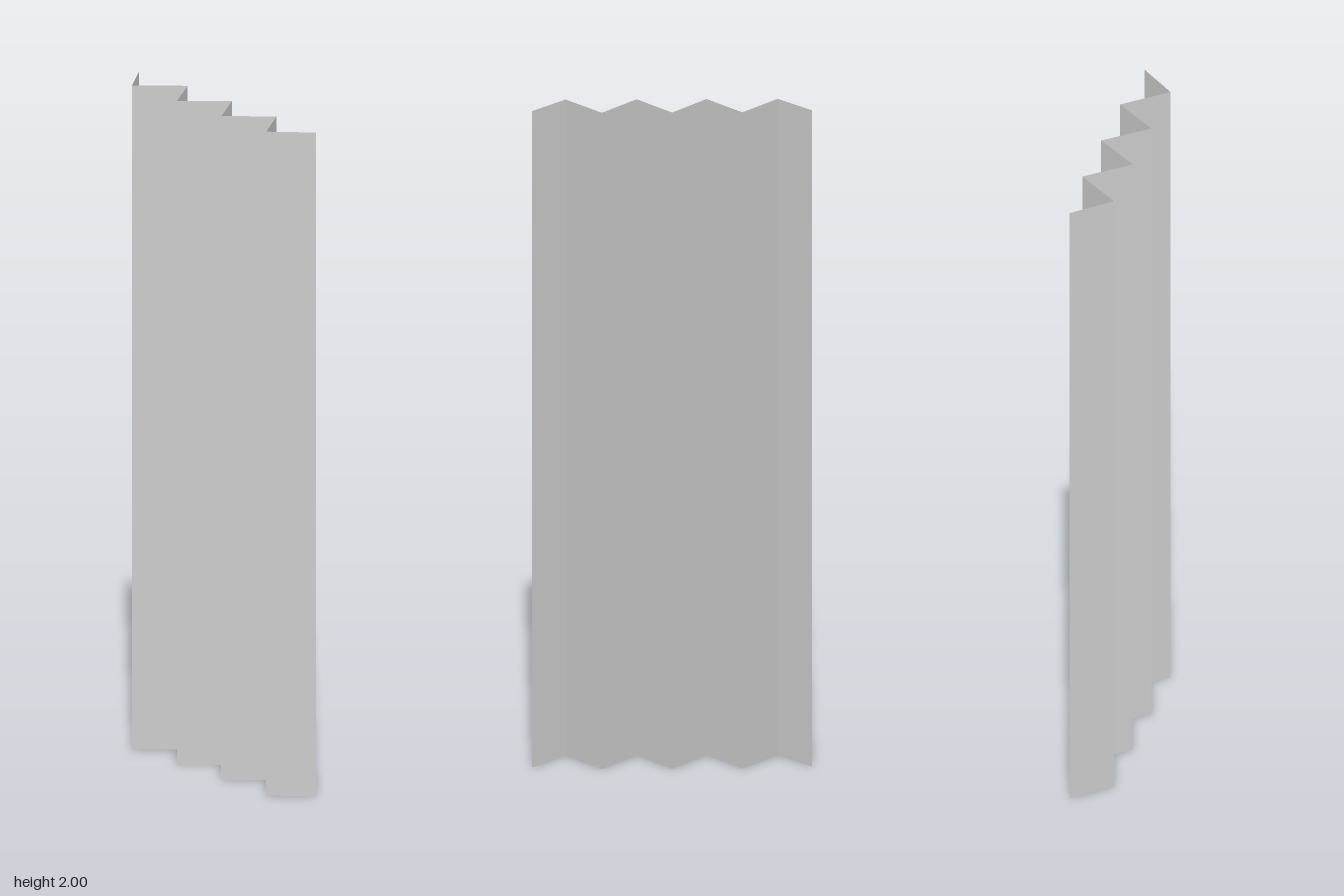
import * as THREE from 'three';

// Fold lines of the pleated screen seen from above, front to back: [x, z]
const HEIGHT = 2;
const OUT = 0.06, IN = -0.063, END = 0.043;
const folds = [
  [END, 0.405], [IN, 0.307], [OUT, 0.203], [IN, 0.101], [OUT, 0],
  [IN, -0.101], [OUT, -0.203], [IN, -0.307], [END, -0.405],
];

export function createModel() {
  const group = new THREE.Group();
  group.name = 'foldingScreen';
  const material = new THREE.MeshStandardMaterial({
    color: 0xcccccc, flatShading: true, side: THREE.DoubleSide,
  });

  // One thin flat panel between each pair of neighbouring folds
  for (let i = 0; i < folds.length - 1; i++) {
    const [x0, z0] = folds[i];
    const [x1, z1] = folds[i + 1];
    const dx = x1 - x0, dz = z1 - z0;
    const panel = new THREE.Mesh(new THREE.PlaneGeometry(Math.hypot(dx, dz), HEIGHT), material);
    panel.name = `panel${i + 1}`;
    panel.position.set((x0 + x1) / 2, HEIGHT / 2, (z0 + z1) / 2);
    panel.rotation.y = Math.atan2(-dz, dx);
    group.add(panel);
  }
  return group;
}
